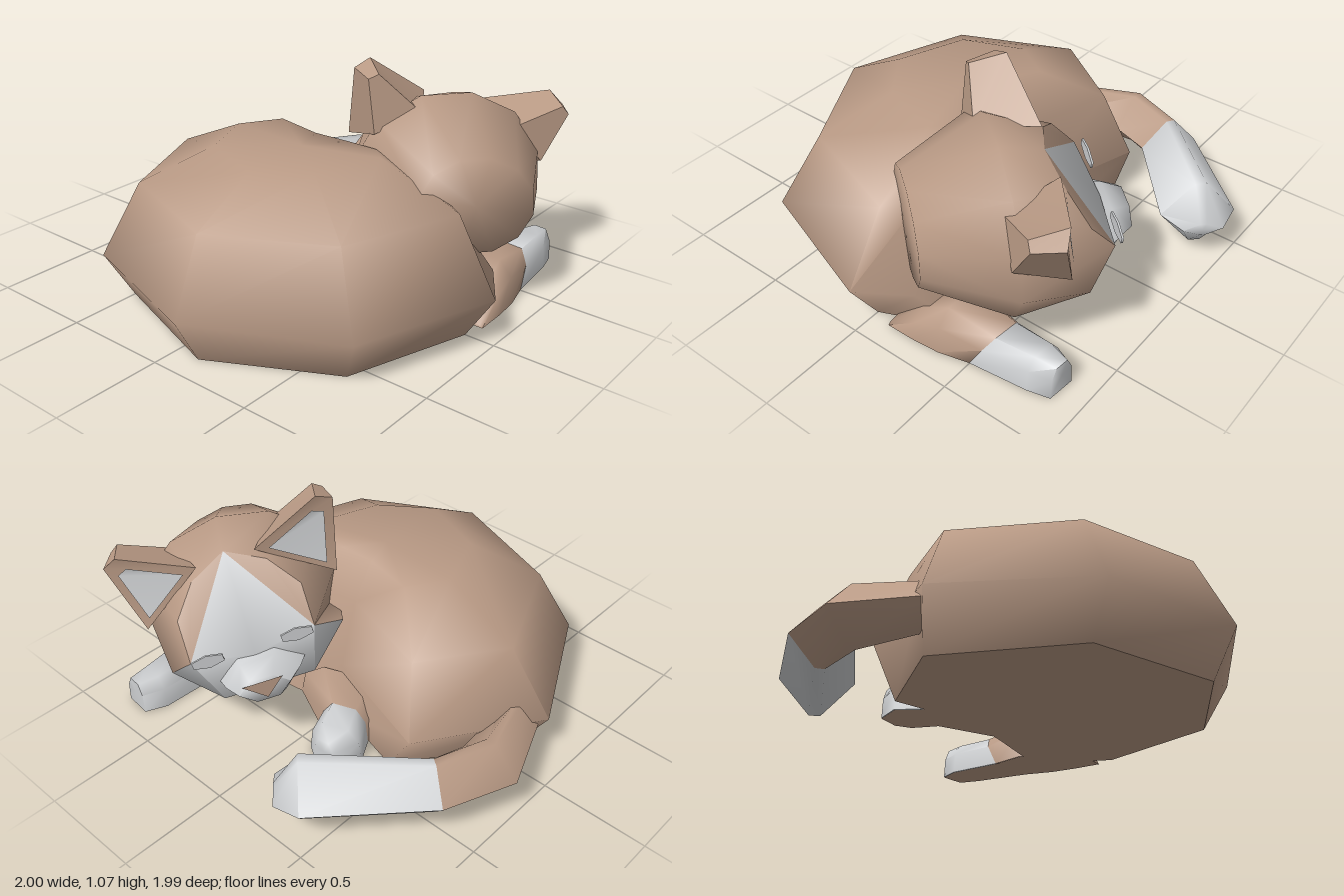
import * as THREE from 'three';
import { toCreasedNormals } from 'three/addons/utils/BufferGeometryUtils.js';

const V = (x, y, z) => new THREE.Vector3(x, y, z);

function build(points, index) {
  const g = new THREE.BufferGeometry().setFromPoints(points);
  g.setIndex(index);
  return g;
}

// Skin closed cross-sections; cap the ends with fans and make it face outwards
function loft(rings, { capStart = true, capEnd = true, crease = 1.3 } = {}) {
  const n = rings[0].length;
  const pts = rings.flat().map(p => p.clone());
  const idx = [];
  for (let r = 0; r < rings.length - 1; r++) {
    for (let i = 0; i < n; i++) {
      const j = (i + 1) % n, a = r * n + i, b = r * n + j;
      idx.push(a, b, b + n, a, b + n, a + n);
    }
  }
  const cap = (r, flip) => {
    const mid = rings[r].reduce((s, p) => s.add(p), V(0, 0, 0)).divideScalar(n);
    const c = pts.push(mid) - 1;
    for (let i = 0; i < n; i++) {
      const a = r * n + i, b = r * n + (i + 1) % n;
      flip ? idx.push(c, b, a) : idx.push(c, a, b);
    }
  };
  if (capStart) cap(0, true);
  if (capEnd) cap(rings.length - 1, false);
  const o = rings.flat().reduce((s, p) => s.add(p), V(0, 0, 0)).divideScalar(n * rings.length);
  let volume = 0;
  for (let i = 0; i < idx.length; i += 3) {
    const [a, b, c] = [0, 1, 2].map(k => pts[idx[i + k]].clone().sub(o));
    volume += a.dot(b.cross(c));
  }
  if (volume < 0) idx.reverse();
  return toCreasedNormals(build(pts, idx), crease);
}

// Upright cross-section whose width runs at an angle in the ground plane; lean tips its top back
function section(profile, [x, y, z, angle, w, h, lean = 0]) {
  return profile.map(([a, b]) => V(x + Math.cos(angle) * w * a, y + h * b, z + Math.sin(angle) * w * a - lean * b));
}
const hexagon = t => [[1, 0], [t, 1], [-t, 1], [-1, 0], [-t, -1], [t, -1]];
const LEG = [[1, 0.02], [0.9, 0.65], [0.5, 1], [-0.5, 1], [-0.9, 0.65], [-1, 0.02]];

// Flat face on the ground, seen from below
function groundFace(outline) {
  return new THREE.ShapeGeometry(new THREE.Shape(outline.map(([x, z]) => new THREE.Vector2(x, z)))).rotateX(Math.PI / 2);
}

export function createModel() {
  const model = new THREE.Group();
  model.name = 'sleepingCat';
  const brown = new THREE.MeshStandardMaterial({ color: 0xb99a85 });
  brown.name = 'brownFur';
  const white = new THREE.MeshStandardMaterial({ color: 0xcdcfd1 });
  white.name = 'whiteFur';
  const add = (parent, name, geometry, material) => {
    const m = new THREE.Mesh(geometry, material);
    m.name = name;
    parent.add(m);
    return m;
  };

  // Curled body, stacked outlines from the ground up
  const outlines = [
    [0, [[-0.74, 0.05], [-0.5, 0.66], [0.12, 0.87], [0.67, 0.58], [0.86, 0], [0.7, -0.36], [0.3, -0.29], [0, -0.25], [-0.4, -0.36]]],
    [0.22, [[-0.89, 0.15], [-0.57, 0.77], [0.12, 0.99], [0.77, 0.67], [1, 0.01], [0.85, -0.22], [0.4, -0.25], [0.03, -0.2], [-0.54, -0.38]]],
    [0.55, [[-0.7, 0.1], [-0.47, 0.62], [0.1, 0.83], [0.61, 0.55], [0.8, 0], [0.65, -0.1], [0.35, -0.13], [0.02, -0.12], [-0.45, -0.27]]],
    [0.72, [[-0.33, 0.12], [-0.22, 0.4], [0.1, 0.52], [0.32, 0.36], [0.43, 0.05], [0.35, -0.02], [0.2, -0.02], [0.02, -0.01], [-0.22, -0.06]]],
  ];
  add(model, 'body', loft(outlines.map(([y, o]) => o.map(([x, z]) => V(x, y, z))), { capStart: false, crease: 1.45 }), brown);
  add(model, 'underside', groundFace(outlines[0][1]), brown);

  // Limbs: a brown part and a white tip sharing one cross-section
  const limb = (name, profile, sections, split) => {
    const rings = sections.map(s => section(profile, s));
    add(model, name, loft(rings.slice(0, split + 1)), brown);
    add(model, name + 'Tip', loft(rings.slice(split)), white);
  };
  const leg = (name, sections, split) => {
    limb(name, LEG, sections, split);
    const side = s => sections.map(([x, , z, angle, w]) => [x + s * Math.cos(angle) * w, z + s * Math.sin(angle) * w]);
    add(model, name + 'Sole', groundFace([...side(1), ...side(-1).reverse()]), brown);
  };
  leg('frontLeg', [
    [0.75, 0, -0.09, 0, 0.14, 0.02], [0.75, 0, -0.23, 0, 0.14, 0.14], [0.725, 0, -0.36, 0, 0.155, 0.2],
    [0.725, 0, -0.51, 0.1, 0.12, 0.16, 0.09], [0.715, 0, -0.78, 0.1, 0.1, 0.155], [0.725, 0, -0.88, 0.1, 0.065, 0.15]], 3);
  leg('hindLeg', [
    [0, 0, -0.2, -0.35, 0.24, 0.19], [-0.14, 0, -0.365, -0.35, 0.115, 0.18],
    [-0.195, 0, -0.48, -0.35, 0.125, 0.17], [-0.2, 0, -0.56, -0.1, 0.055, 0.14]], 1);
  limb('tail', hexagon(0.15), [
    [-0.76, 0.19, 0.12, -0.3, 0.09, 0.1], [-0.85, 0.19, -0.22, 0.05, 0.15, 0.135], [-0.755, 0.19, -0.47, 0.61, 0.14, 0.135],
    [-0.36, 0.205, -0.86, 0.79, 0.172, 0.165], [-0.285, 0.19, -0.935, 0.79, 0.092, 0.03]], 2);

  // Head, built facing +z and then turned and tilted into place
  const head = new THREE.Group();
  head.name = 'head';
  const zAxis = V(-0.8, 0, -0.6);
  const xAxis = V(-0.58, 0.24, 0.78).normalize();
  head.quaternion.setFromRotationMatrix(
    new THREE.Matrix4().makeBasis(xAxis, zAxis.clone().cross(xAxis), zAxis));
  head.position.set(0.49, 0.53, -0.37);
  model.add(head);

  // Twelve-sided rings; the rim frames the face from brow to throat
  const oval = (rx, ry, z) => Array.from({ length: 12 }, (_, i) =>
    V(rx * Math.cos(i * Math.PI / 6), ry * Math.sin(i * Math.PI / 6), z));
  const upper = [V(0.28, 0, 0.42), V(0.28, 0.15, 0.3), V(0.17, 0.27, 0.22)];
  const lower = [V(0.4, -0.12, 0.29), V(0.25, -0.32, 0.23)];
  const mirror = list => list.map(p => V(-p.x, p.y, p.z));
  const rim = [
    ...upper, V(0, 0.34, 0.17), ...mirror(upper).reverse(),
    ...mirror(lower), V(0, -0.4, 0.22), ...[...lower].reverse()];
  add(head, 'skull', loft([oval(0.27, 0.22, -0.38), oval(0.46, 0.4, -0.02), rim], { capEnd: false }), brown);

  // Face: brown brows beside a white blaze, cheeks and chin
  const fan = (centre, edge) => edge.slice(1).flatMap((p, i) => [centre, edge[i], p]);
  const brows = [...fan(0, [1, 2, 3]), ...fan(6, [3, 4, 5])];
  const blaze = [
    ...fan(12, [0, 3, 6, 13, 14, 0]),
    ...fan(13, [6, 7, 8, 9, 14]), ...fan(14, [9, 10, 11, 0])];
  const face = build([...rim, V(0, -0.03, 0.45), V(-0.21, -0.27, 0.39), V(0.21, -0.27, 0.39)], [...brows, ...blaze]);
  face.addGroup(0, brows.length, 0);
  face.addGroup(brows.length, blaze.length, 1);
  add(head, 'face', toCreasedNormals(face, 0.9), [brown, white]);

  // Muzzle and nose
  const muzzle = (w, h, y, z) => hexagon(0.45).map(([a, b]) => V(a * w, y + b * h, z));
  add(head, 'muzzle', loft([muzzle(0.22, 0.14, -0.16, 0.34), muzzle(0.17, 0.1, -0.14, 0.48), muzzle(0.115, 0.06, -0.13, 0.57)]), white);
  add(head, 'nose', build([V(-0.09, -0.085, 0.576), V(0, -0.175, 0.576), V(0.09, -0.085, 0.576)], [0, 1, 2]), brown)
    .geometry.computeVertexNormals();

  for (const s of [1, -1]) {
    // Closed eye
    const eye = add(head, s > 0 ? 'leftEye' : 'rightEye', new THREE.CylinderGeometry(0.08, 0.08, 0.009, 6), white);
    eye.rotation.x = Math.PI / 2;
    eye.scale.z = 0.42;
    eye.position.set(s * 0.2, 0.01, 0.452);

    // Blunt ear with a pale inner panel
    const P = (x, y, z) => V(s * x, y, z);
    const base = [P(0.13, 0.32, 0.2), P(0.44, 0.07, 0.18), P(0.41, 0.15, -0.06), P(0.22, 0.28, -0.06)];
    const tip = [P(0.45, 0.44, 0.13), P(0.52, 0.39, 0.1), P(0.49, 0.38, -0.03), P(0.45, 0.41, -0.03)];
    add(head, s > 0 ? 'leftEar' : 'rightEar', loft([base, tip], { crease: 0.5 }), brown);
    const mid = base[0].clone().add(base[1]).add(tip[0]).divideScalar(3);
    const inner = [base[0], base[1], tip[1], tip[0]].map(p => p.clone().lerp(mid, 0.3).add(V(0, 0, 0.012)));
    const panel = build(inner, s > 0 ? [0, 1, 2, 0, 2, 3] : [0, 2, 1, 0, 3, 2]);
    panel.computeVertexNormals();
    add(head, s > 0 ? 'leftInnerEar' : 'rightInnerEar', panel, white);
  }
  return model;
}
